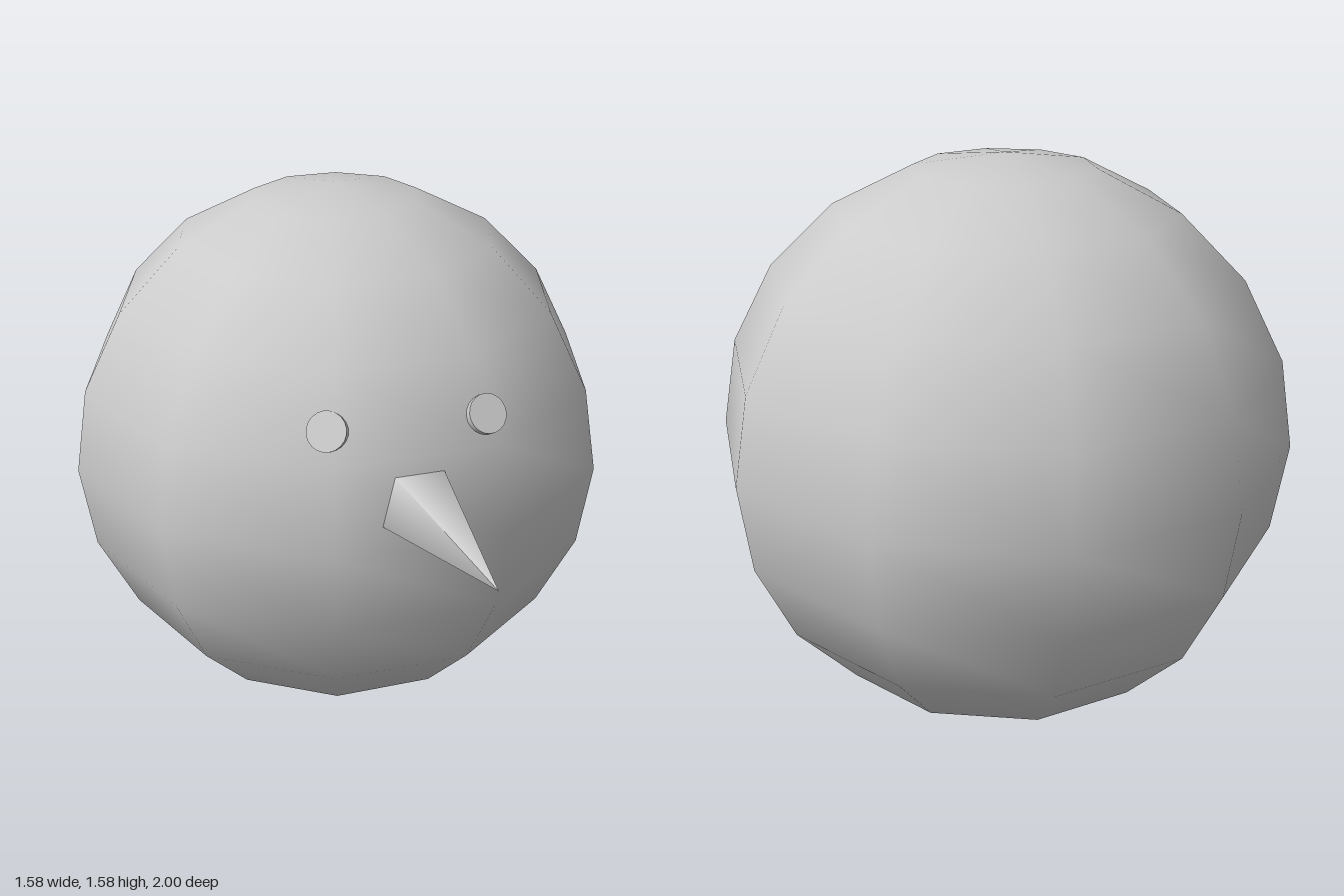
import * as THREE from 'three';

const material = new THREE.MeshStandardMaterial({ color: 0xcccccc });

function add(group, name, geometry) {
  const mesh = new THREE.Mesh(geometry, material);
  mesh.name = name;
  group.add(mesh);
  return mesh;
}

// Turn a mesh so its local y axis runs along a direction
function aim(mesh, direction) {
  mesh.quaternion.setFromUnitVectors(new THREE.Vector3(0, 1, 0), direction.clone().normalize());
}

export function createModel() {
  const group = new THREE.Group();
  group.name = 'roundBird';

  // Round body: ten-sided, smoothly shaded
  const body = add(group, 'body', new THREE.SphereGeometry(0.789, 10, 10));
  body.position.set(0, 0.789, -0.25);

  // Five-sided beak, one ridge underneath, base sunk into the body
  const base = new THREE.Vector3(0, 0.893, 0.45);
  const tip = new THREE.Vector3(0, 0.93, 1);
  const axis = tip.clone().sub(base);
  const beakGeometry = new THREE.ConeGeometry(0.122, axis.length(), 5);
  const beak = add(group, 'beak', beakGeometry);
  beak.position.copy(base).add(tip).multiplyScalar(0.5);
  // The first ridge (local +z) swings down as the cone tips forward
  aim(beak, axis);

  // Thin round eyes, each lying along its own patch of the body
  const eyes = [
    { name: 'leftEye', face: [0.2, 1.12, 0.438], normal: [0.1, 0.5, 0.87] },
    { name: 'rightEye', face: [-0.237, 1.12, 0.414], normal: [-0.48, 0.45, 0.75] },
  ];
  const depth = 0.05;
  for (const { name, face, normal } of eyes) {
    const direction = new THREE.Vector3(...normal).normalize();
    const eye = add(group, name, new THREE.CylinderGeometry(0.054, 0.054, depth, 20));
    eye.position.set(...face).addScaledVector(direction, -depth / 2);
    aim(eye, direction);
  }
  return group;
}
